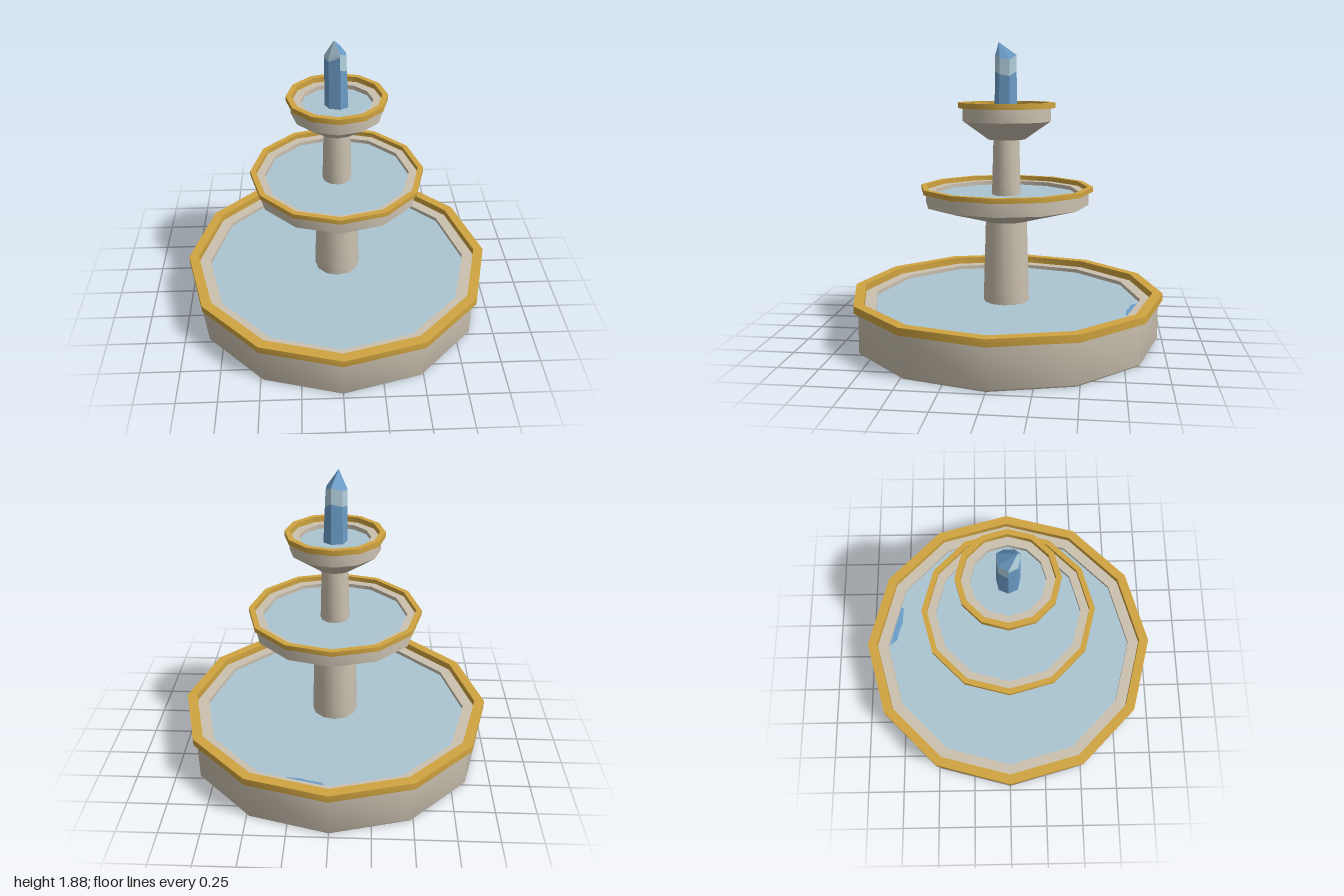
import * as THREE from 'three';
import { toCreasedNormals } from 'three/addons/utils/BufferGeometryUtils.js';

const material = (name, color, extra = {}) => {
  const m = new THREE.MeshStandardMaterial({ color, ...extra });
  m.name = name;
  return m;
};

export function createModel() {
  const stone = material('stone', 0xcbc1b0);
  const gold = material('gold', 0xd0a440);
  const water = material('water', 0xabc5d2);
  const crystalBlue = material('crystalBlue', 0x6b9dc8);
  const crystalLight = material('crystalLight', 0xb2d0de);
  const model = new THREE.Group();
  model.name = 'fountain';

  const add = (name, geometry, mat, parent = model) => {
    const mesh = new THREE.Mesh(geometry, mat);
    mesh.name = name;
    parent.add(mesh);
    return mesh;
  };
  // Twelve-sided turned part, smooth around and sharp at profile corners
  const turned = (name, profile, mat, parent) => {
    const points = profile.map(([r, y]) => new THREE.Vector2(r, y));
    return add(name, toCreasedNormals(new THREE.LatheGeometry(points, 12), 0.6), mat, parent);
  };

  // Basin: stone bowl, gold rim on top and a water surface inside
  const basin = (name, outside, { inner, rimOut, rimIn, rimTop, level }) => {
    const group = new THREE.Group();
    group.name = name;
    model.add(group);
    const ledge = outside[outside.length - 1][1];
    turned(name + 'Bowl', [...outside, [inner, ledge], [inner, level - 0.01]], stone, group);
    turned(name + 'Rim', [[rimIn, ledge], [rimOut, ledge], [rimOut, rimTop],
      [rimIn, rimTop], [rimIn, ledge]], gold, group);
    turned(name + 'Water', [[inner, level], [0, level]], water, group);
  };
  basin('lowerBasin', [[0, 0], [0.965, 0], [0.972, 0.01], [0.972, 0.26]],
    { inner: 0.86, rimOut: 1, rimIn: 0.935, rimTop: 0.305, level: 0.235 });
  basin('middleBasin', [[0, 0.757], [0.13, 0.757], [0.522, 0.865], [0.522, 0.95]],
    { inner: 0.46, rimOut: 0.55, rimIn: 0.515, rimTop: 0.98, level: 0.925 });
  basin('upperBasin', [[0, 1.277], [0.12, 1.277], [0.28, 1.39], [0.28, 1.473]],
    { inner: 0.22, rimOut: 0.307, rimIn: 0.273, rimTop: 1.507, level: 1.445 });

  // Tapered columns between the basins
  turned('lowerColumn', [[0.147, 0.23], [0.145, 0.33], [0.132, 0.765]], stone);
  turned('upperColumn', [[0.092, 0.92], [0.09, 1.0], [0.082, 1.285]], stone);

  // Darker patch on the water at the back of the lower basin
  const patch = new THREE.Shape([[0.01, 0.85], [0.05, 0.8], [0.12, 0.785], [0.18, 0.765],
    [0.29, 0.76], [0.3, 0.778], [0.15, 0.818]].map(([x, y]) => new THREE.Vector2(x, y)));
  add('waterPatch', new THREE.ShapeGeometry(patch).rotateX(-Math.PI / 2).translate(0, 0.238, 0),
    crystalBlue);

  // Crystal: base x, base z, shoulder x, shoulder z, shoulder height
  const corners = [
    [-0.075, 0, -0.075, 0, 1.77], [-0.05, 0.055, -0.05, 0.055, 1.77],
    [0.02, 0.072, 0.015, 0.068, 1.8], [0.067, 0.04, 0.052, 0.035, 1.78],
    [0.07, -0.03, 0.055, -0.025, 1.77], [0.02, -0.07, 0.02, -0.066, 1.8],
    [-0.05, -0.055, -0.045, -0.055, 1.78],
  ];
  const apex = [-0.02, 1.88, 0.05];
  const blue = [], light = [];
  const quad = (list, a, b, c, d) => list.push(...a, ...b, ...c, ...a, ...c, ...d);
  const at = ([bx, bz, sx, sz, h], y) => {
    const t = (y - 1.43) / (h - 1.43);
    return [bx + (sx - bx) * t, y, bz + (sz - bz) * t];
  };
  corners.forEach((c, i) => {
    const n = corners[(i + 1) % corners.length];
    const front = i < 2;
    const band = front ? 0.02 : 0.1;
    quad(blue, at(c, 1.43), at(n, 1.43), at(n, n[4] - band), at(c, c[4] - band));
    quad(light, at(c, c[4] - band), at(n, n[4] - band), at(n, n[4]), at(c, c[4]));
    (front ? light : blue).push(...at(c, c[4]), ...at(n, n[4]), ...apex);
  });
  const crystal = new THREE.Group();
  crystal.name = 'crystal';
  model.add(crystal);
  for (const [name, list, mat] of [['crystalBody', blue, crystalBlue],
    ['crystalHighlights', light, crystalLight]]) {
    const g = new THREE.BufferGeometry();
    g.setAttribute('position', new THREE.Float32BufferAttribute(list, 3));
    g.computeVertexNormals();
    add(name, g, mat, crystal);
  }
  return model;
}
